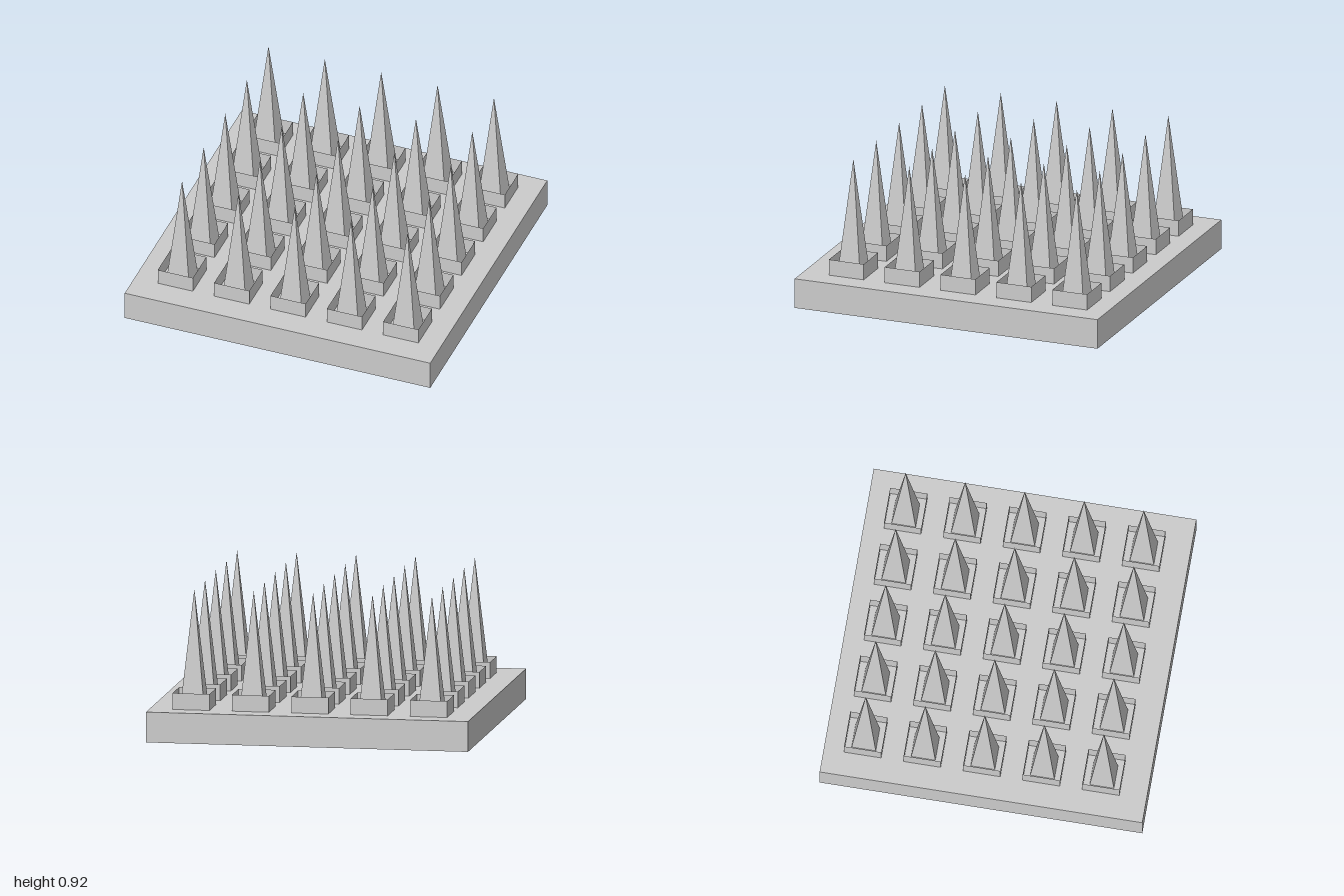
import * as THREE from 'three';

const material = new THREE.MeshStandardMaterial({
  color: 0xcccccc, flatShading: true, side: THREE.DoubleSide,
});

const BASE_H = 0.188, TRAY_H = 0.101, TRAY_W = 0.23;
const SPIKE_W = 0.15, SPIKE_TOP = 0.918;
const COUNT = 5, PITCH = 0.369, CENTRE_X = 0.005, CENTRE_Z = -0.021;

// Thin-walled box standing on y = 0 with some faces left out
// (face order: +x, -x, +y, -y, +z, -z)
function openBox(w, h, d, omitted) {
  const geometry = new THREE.BoxGeometry(w, h, d).translate(0, h / 2, 0);
  const index = Array.from(geometry.index.array);
  geometry.setIndex(index.filter((_, i) => !omitted.includes(Math.floor(i / 6))));
  geometry.clearGroups();
  return geometry;
}

function addMesh(parent, name, geometry) {
  const mesh = new THREE.Mesh(geometry, material);
  mesh.name = name;
  parent.add(mesh);
  return mesh;
}

export function createModel() {
  const model = new THREE.Group();
  model.name = 'spikeBoard';

  // Hollow base, open underneath
  addMesh(model, 'base', openBox(2, BASE_H, 2, [3]));

  // Socket walls, open above and below, resting on the base
  const socketGeometry = openBox(TRAY_W, TRAY_H, TRAY_W, [2, 3]);

  // Four-sided spike rising from the base through its socket
  const spikeH = SPIKE_TOP - BASE_H;
  const spikeGeometry = new THREE.ConeGeometry(SPIKE_W / Math.SQRT2, spikeH, 4, 1, true)
    .rotateY(Math.PI / 4)
    .translate(0, spikeH / 2, 0);

  for (let row = 0; row < COUNT; row++) {
    for (let col = 0; col < COUNT; col++) {
      const unit = new THREE.Group();
      unit.name = `spikeUnit_${row}_${col}`;
      unit.position.set(
        CENTRE_X + (col - (COUNT - 1) / 2) * PITCH,
        BASE_H,
        CENTRE_Z + (row - (COUNT - 1) / 2) * PITCH,
      );
      addMesh(unit, 'socket', socketGeometry);
      addMesh(unit, 'spike', spikeGeometry);
      model.add(unit);
    }
  }
  return model;
}
